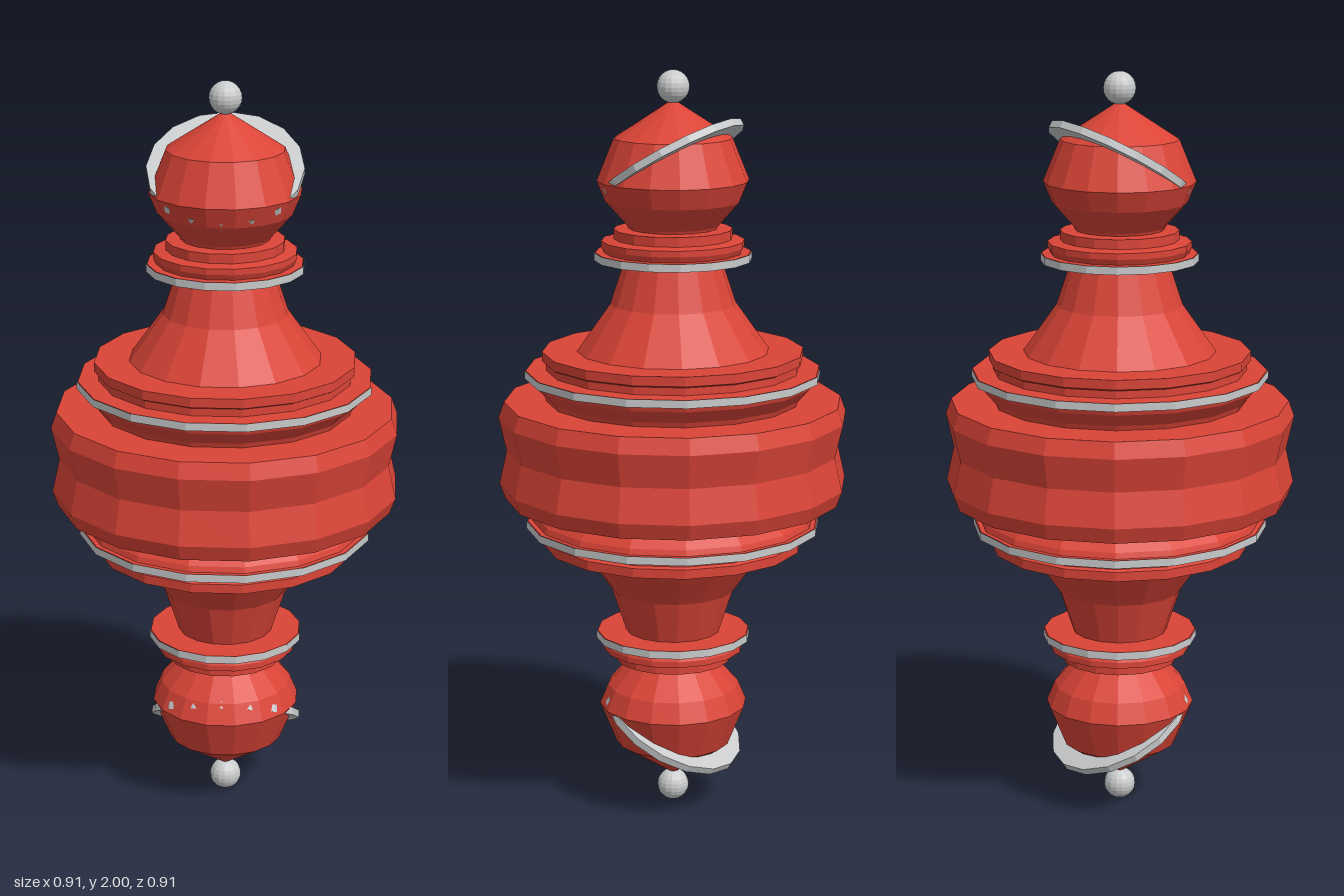
import * as THREE from 'three';

const SIDES = 16;
const STEP = Math.PI / SIDES;

export function createModel() {
  const red = new THREE.MeshStandardMaterial({ color: 0xdb4437, flatShading: true });
  red.name = 'red lacquer';
  const silver = new THREE.MeshStandardMaterial({ color: 0xc9cbcc, flatShading: true });
  silver.name = 'silver';

  const model = new THREE.Group();
  model.name = 'turnedOrnament';
  const add = (parent, name, geometry, material, y = 0) => {
    const mesh = new THREE.Mesh(geometry, material);
    mesh.name = name;
    mesh.position.y = y;
    parent.add(mesh);
    return mesh;
  };

  // Upper half of the turned profile: [half width across flats, height above the middle]
  const half = [
    [0.435, 0], [0.455, 0.09], [0.44, 0.132],                      // belly
    [0.33, 0.132], [0.335, 0.145], [0.365, 0.18], [0.37, 0.195],   // shoulder cove
    [0.383, 0.195], [0.383, 0.215], [0.33, 0.215],                 // wide disc
    [0.33, 0.235], [0.34, 0.24], [0.34, 0.265], [0.25, 0.265],     // shoulder step
    [0.163, 0.39], [0.125, 0.507],                                 // flared neck
    [0.201, 0.507], [0.201, 0.527], [0.178, 0.527],                // collar disc
    [0.185, 0.542], [0.185, 0.558], [0.153, 0.563], [0.153, 0.588], [0.115, 0.59],
    [0.118, 0.597], [0.174, 0.661], [0.196, 0.715], [0.152, 0.825], [0, 0.925], // knob
  ];
  const lower = half.slice(1).reverse().map(([r, y]) => [r, -y]);
  const points = [...lower, ...half].map(
    ([r, y]) => new THREE.Vector2(r / Math.cos(STEP), 1 + y));
  add(model, 'turnedBody', new THREE.LatheGeometry(points, SIDES, STEP), red);

  // Silver fittings, repeated at both ends
  for (const s of [1, -1]) {
    const end = new THREE.Group();
    end.name = s > 0 ? 'upperFittings' : 'lowerFittings';
    model.add(end);

    // Bands around the disc rims
    for (const [name, width, y] of [['wideBand', 0.386, 0.205], ['collarBand', 0.204, 0.517]]) {
      const r = width / Math.cos(STEP);
      const band = new THREE.CylinderGeometry(r, r, 0.021, SIDES, 1, true, STEP);
      add(end, name, band, silver, 1 + s * y);
    }

    // Tilted disc cutting through the knob
    const disc = add(end, 'tiltedDisc',
      new THREE.CylinderGeometry(0.204, 0.204, 0.02, SIDES), silver, 1 + s * 0.769);
    disc.rotation.x = s * 0.545;

    // End bead
    add(end, 'endBead', new THREE.SphereGeometry(0.043, 16, 12), silver, 1 + s * 0.957);
  }
  return model;
}
